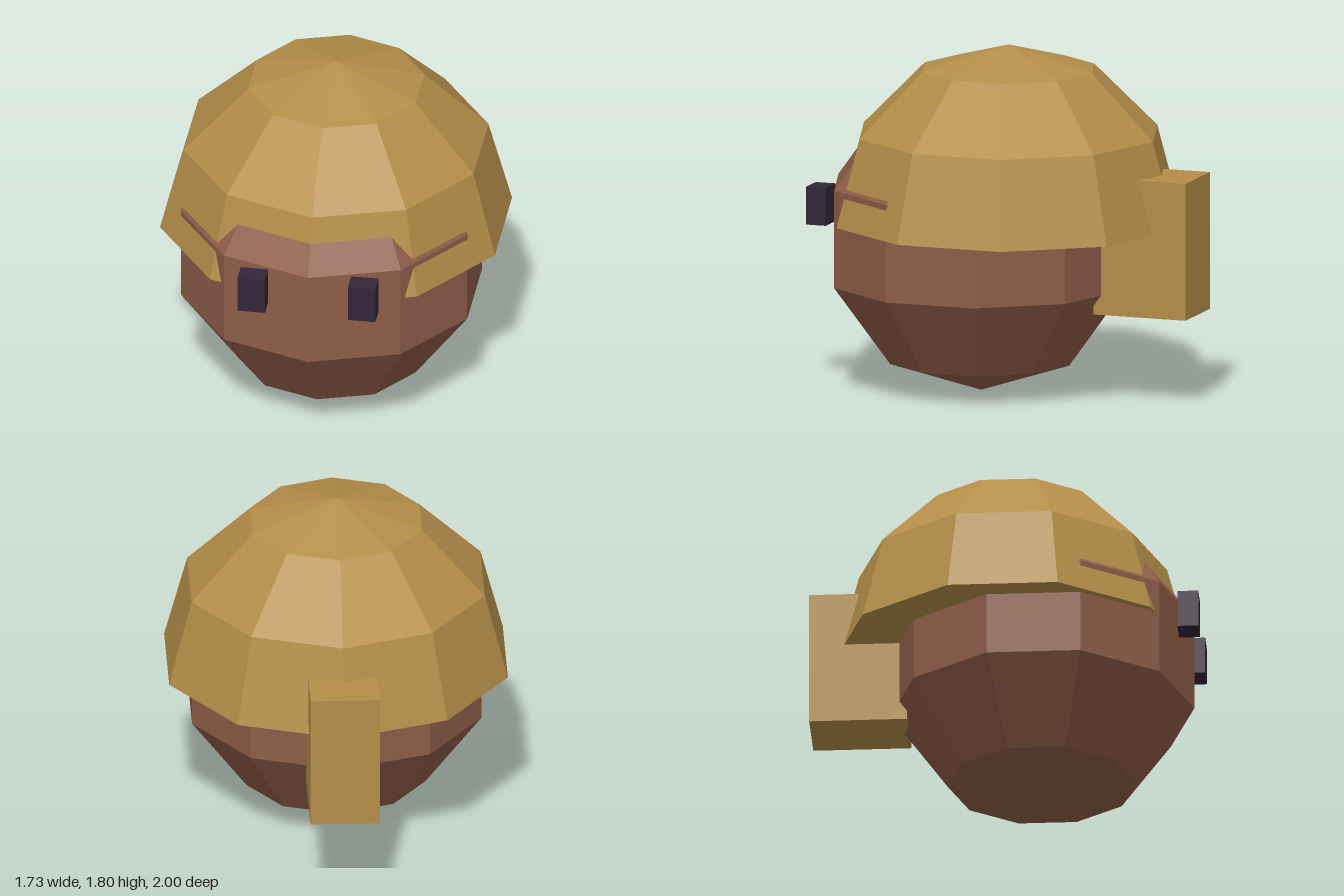
import * as THREE from 'three';

export function createModel() {
  const model = new THREE.Group();
  const material = (name, color) => {
    const m = new THREE.MeshStandardMaterial({ color, flatShading: true });
    m.name = name;
    return m;
  };
  const skin = material('brown skin', 0x8f5d48);
  const blond = material('golden hair', 0xb58e49);
  const dark = material('dark eye', 0x32253a);

  const add = (name, geometry, mat, x, y, z, parent = model) => {
    const mesh = new THREE.Mesh(geometry, mat);
    mesh.name = name;
    mesh.position.set(x, y, z);
    parent.add(mesh);
    return mesh;
  };

  // Ten-sided head, with a corner facing forward
  add('head', new THREE.SphereGeometry(0.817, 10, 5).rotateY(Math.PI / 2), skin, 0, 0.822, 0.18);

  // Hair: half-sphere cap; the forehead pokes through its front
  const hair = new THREE.Group();
  hair.name = 'hair';
  model.add(hair);
  const hairRadius = 0.909, hairY = 0.897, hairZ = 0.031;
  const dome = new THREE.SphereGeometry(hairRadius, 10, 3, 0, Math.PI * 2, 0, Math.PI / 2).rotateY(Math.PI / 2);
  add('hairCap', dome, blond, 0, hairY, hairZ, hair);

  // Flat underside closing the cap
  const underside = new THREE.CircleGeometry(hairRadius, 10).rotateX(Math.PI / 2).rotateY(Math.PI / 2);
  add('hairUnderside', underside, blond, 0, hairY, hairZ, hair);

  // Ponytail block behind
  add('ponytail', new THREE.BoxGeometry(0.356, 0.71, 0.5), blond, 0, 0.825, -0.75, hair);

  // Eyes
  for (const side of [1, -1]) {
    add(side > 0 ? 'leftEye' : 'rightEye', new THREE.BoxGeometry(0.142, 0.196, 0.107), dark, side * 0.285, 0.968, 0.946);
  }
  return model;
}
